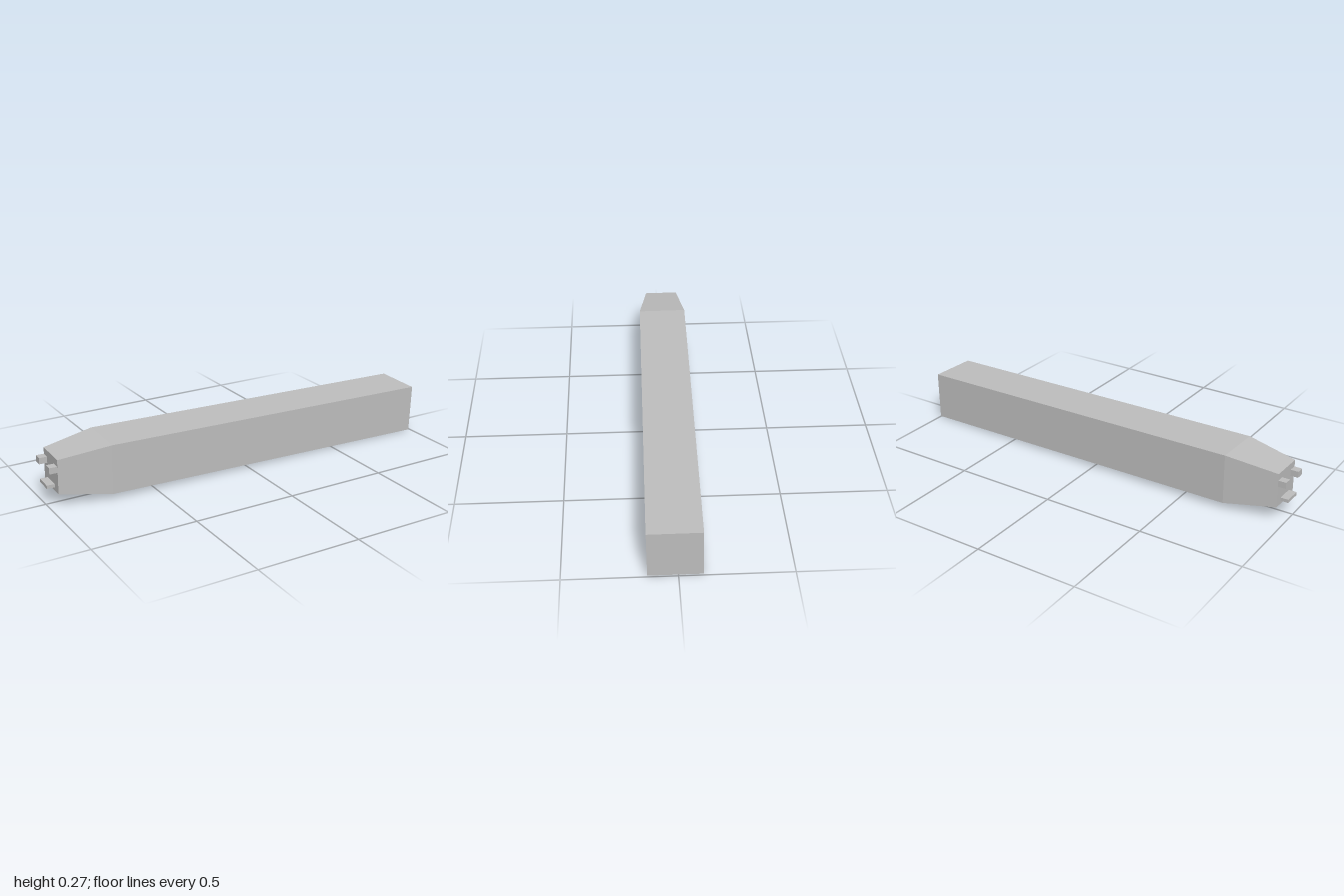
import * as THREE from 'three';

export function createModel() {
  const model = new THREE.Group();
  model.name = 'taperedBeam';
  const grey = new THREE.MeshStandardMaterial({ color: 0xbfbfbf });
  grey.name = 'plain grey';

  const add = (name, geometry) => {
    const mesh = new THREE.Mesh(geometry, grey);
    mesh.name = name;
    model.add(mesh);
  };

  // Body: square bar whose connector end tapers in
  const taperX = -0.713, endX = -0.96, farX = 0.9965;
  const body = new THREE.BoxGeometry(2, 0.24, 0.24, 2, 1, 1).toNonIndexed();
  const p = body.attributes.position;
  for (let i = 0; i < p.count; i++) {
    const x = p.getX(i);
    if (x < -0.5) {
      p.setXYZ(i, endX, Math.sign(p.getY(i)) * 0.083, Math.sign(p.getZ(i)) * 0.083);
    } else {
      p.setX(i, x > 0.5 ? farX : taperX);
    }
  }
  body.computeVertexNormals();
  add('body', body);

  // Small blocks standing out of the tapered end
  const block = (name, y0, y1, z0, z1) => {
    const x0 = -0.998, x1 = -0.955;
    const g = new THREE.BoxGeometry(x1 - x0, y1 - y0, z1 - z0);
    g.translate((x0 + x1) / 2, (y0 + y1) / 2, (z0 + z1) / 2);
    add(name, g);
  };
  block('frontPin', 0.021, 0.051, 0.042, 0.081);
  block('backPin', 0.021, 0.051, -0.083, -0.044);
  block('lowerBar', -0.066, -0.05, -0.046, 0.04);

  // The whole beam lies slightly tilted
  model.rotation.set(0.017, -0.0143, -0.0152);
  model.position.set(0, 0.139, 0.001);

  const root = new THREE.Group();
  root.name = 'beam';
  root.add(model);
  return root;
}
